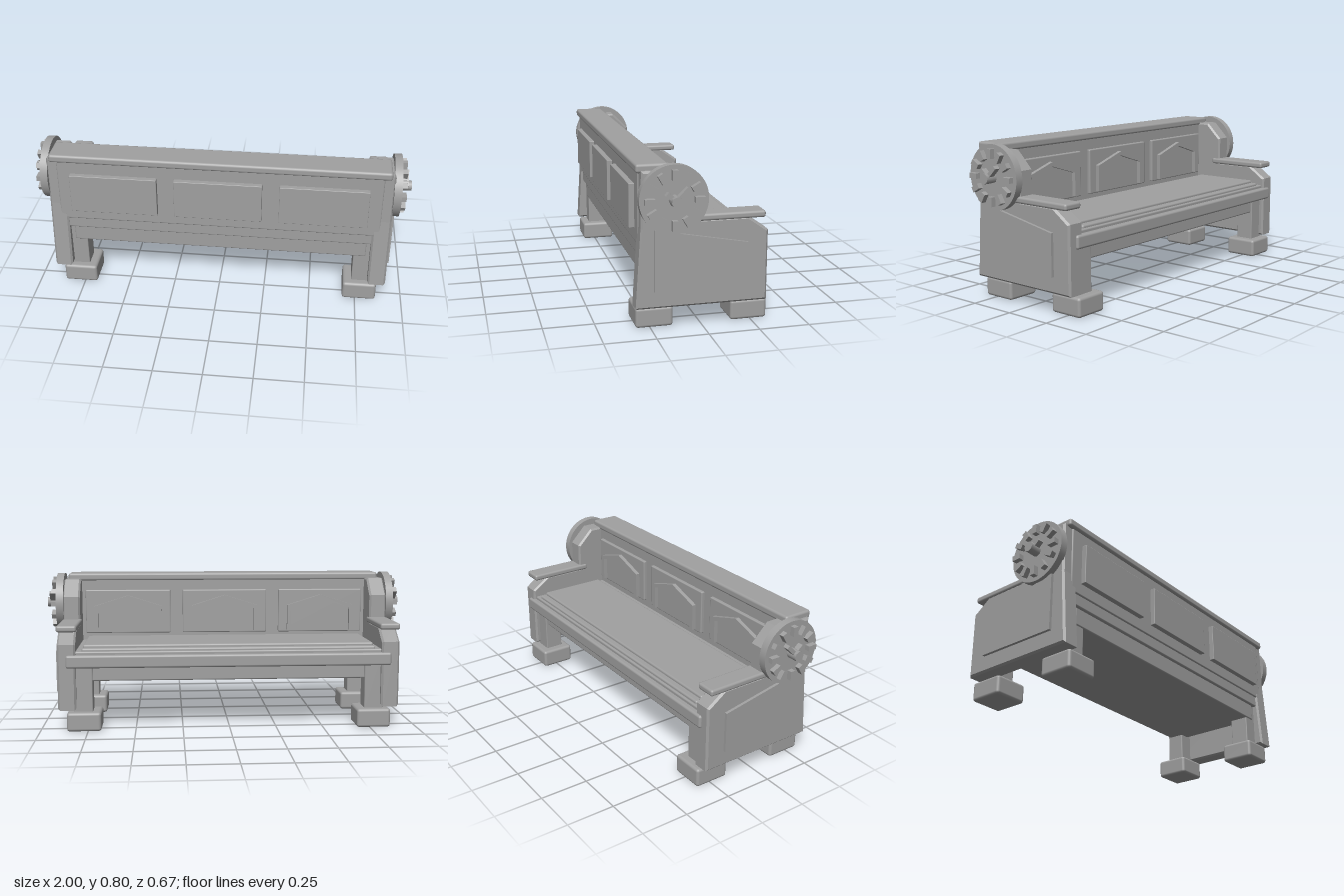
import * as THREE from 'three';
import { RoundedBoxGeometry } from 'three/addons/geometries/RoundedBoxGeometry.js';

export function createModel() {
  const model = new THREE.Group();
  model.name = 'bench';
  const grey = new THREE.MeshStandardMaterial({ color: 0xa0a0a0 });
  grey.name = 'grey';

  function add(name, geometry, parent = model) {
    const mesh = new THREE.Mesh(geometry, grey);
    mesh.name = name;
    parent.add(mesh);
    return mesh;
  }

  // Softened box given by its extents on each axis
  function box(name, x, y, z, r = 0.008, parent = model) {
    const [a, b] = [Math.min(...x), Math.max(...x)];
    const geo = new RoundedBoxGeometry(b - a, y[1] - y[0], z[1] - z[0], 2, r);
    geo.translate((a + b) / 2, (y[0] + y[1]) / 2, (z[0] + z[1]) / 2);
    return add(name, geo, parent);
  }

  // Side profile of [z, y] points, extruded between two x values
  function slab(name, points, xa, xb, bevel, parent) {
    const x0 = Math.min(xa, xb), x1 = Math.max(xa, xb);
    const shape = new THREE.Shape(points.map(([z, y]) => new THREE.Vector2(-z, y)));
    const geo = new THREE.ExtrudeGeometry(shape, {
      depth: x1 - x0 - 2 * bevel, bevelEnabled: bevel > 0, bevelSize: bevel,
      bevelThickness: bevel, bevelOffset: -bevel, bevelSegments: 1,
    });
    geo.rotateY(Math.PI / 2).translate(x0 + bevel, 0, 0);
    return add(name, geo, parent);
  }

  // Seat and its frame
  box('seatFrame', [-0.79, 0.79], [0.26, 0.36], [-0.28, 0.285]);
  box('seatBase', [-0.815, 0.815], [0.35, 0.42], [-0.3, 0.3]);
  box('seatCushion', [-0.78, 0.78], [0.4, 0.435], [-0.288, 0.125], 0.01);
  box('seatTop', [-0.775, 0.775], [0.42, 0.45], [-0.255, 0.12], 0.01);
  box('frontRail', [-0.86, 0.86], [0.335, 0.403], [-0.328, -0.28], 0.012);

  // Backrest with its cap
  box('backrest', [-0.85, 0.85], [0.41, 0.775], [0.17, 0.307]);
  box('topRail', [-0.885, 0.885], [0.757, 0.8], [0.165, 0.322], 0.013);

  // Back panels, with a gabled moulding on the seat side
  for (const cx of [-0.55, 0, 0.55]) {
    box('rearPanel', [cx - 0.23, cx + 0.23], [0.475, 0.69], [0.29, 0.334], 0.003);
    box('innerPanel', [cx - 0.24, cx + 0.24], [0.46, 0.705], [0.152, 0.18], 0.006);
    const gable = new THREE.Shape([
      [-0.19, 0.47], [-0.19, 0.615], [0, 0.675], [0.19, 0.615], [0.19, 0.47],
      [0.168, 0.47], [0.168, 0.598], [0, 0.651], [-0.168, 0.598], [-0.168, 0.47],
    ].map(([x, y]) => new THREE.Vector2(x, y)));
    const geo = new THREE.ExtrudeGeometry(gable, { depth: 0.03, bevelEnabled: false });
    geo.translate(cx, 0, 0.13);
    add('gableMoulding', geo);
  }

  for (const s of [1, -1]) {
    const side = new THREE.Group();
    side.name = s > 0 ? 'leftSide' : 'rightSide';
    model.add(side);

    // Side wall rising into the rear post
    slab('sideWall', [
      [0.328, 0.11], [0.303, 0.5], [0.3, 0.77], [0.1, 0.77], [0.01, 0.68], [0.01, 0.53],
      [-0.215, 0.53], [-0.315, 0.46], [-0.315, 0.11],
    ], s * 0.81, s * 0.905, 0.01, side);
    slab('sidePanel', [[0.24, 0.195], [0.24, 0.495], [-0.212, 0.41], [-0.212, 0.195]],
      s * 0.89, s * 0.92, 0, side);
    box('armrest', [s * 0.803, s * 0.91], [0.522, 0.556], [-0.3, 0.06], 0.012, side);

    // Legs on block feet
    for (const [leg, foot] of [[[0.175, 0.28], [0.137, 0.32]], [[-0.29, -0.19], [-0.332, -0.149]]]) {
      box('leg', [s * 0.725, s * 0.825], [0.09, 0.4], leg, 0.005, side);
      box('foot', [s * 0.68, s * 0.86], [0, 0.1], foot, 0.015, side);
    }

    // Clock dial, turned about the x axis
    const dial = new THREE.Group();
    dial.name = 'dial';
    dial.position.set(0, 0.64, 0.155);
    side.add(dial);
    const disc = (name, r, xa, xb, sides) => {
      const geo = new THREE.CylinderGeometry(r, r, xb - xa, sides);
      geo.rotateZ(Math.PI / 2).translate(s * (xa + xb) / 2, 0, 0);
      return add(name, geo, dial);
    };
    disc('dialPlate', 0.164, 0.9, 0.94, 48);
    disc('hub', 0.027, 0.93, 1.0, 8);

    // Radial bar lying on the dial; angle runs from up toward the rear
    const bar = (name, r0, r1, width, xa, xb, angle) => {
      const geo = new THREE.BoxGeometry(xb - xa, r1 - r0, width);
      geo.translate(s * (xa + xb) / 2, (r0 + r1) / 2, 0).rotateX(angle);
      add(name, geo, dial);
    };
    for (let i = 0; i < 12; i++) bar('hourMark', 0.094, 0.142, 0.027, 0.93, 0.967, i * Math.PI / 6);
    bar('hourHand', 0, 0.056, 0.022, 0.95, 0.98, 0.87);
    bar('minuteHand', 0, 0.084, 0.02, 0.955, 0.985, -0.79);
  }
  return model;
}
